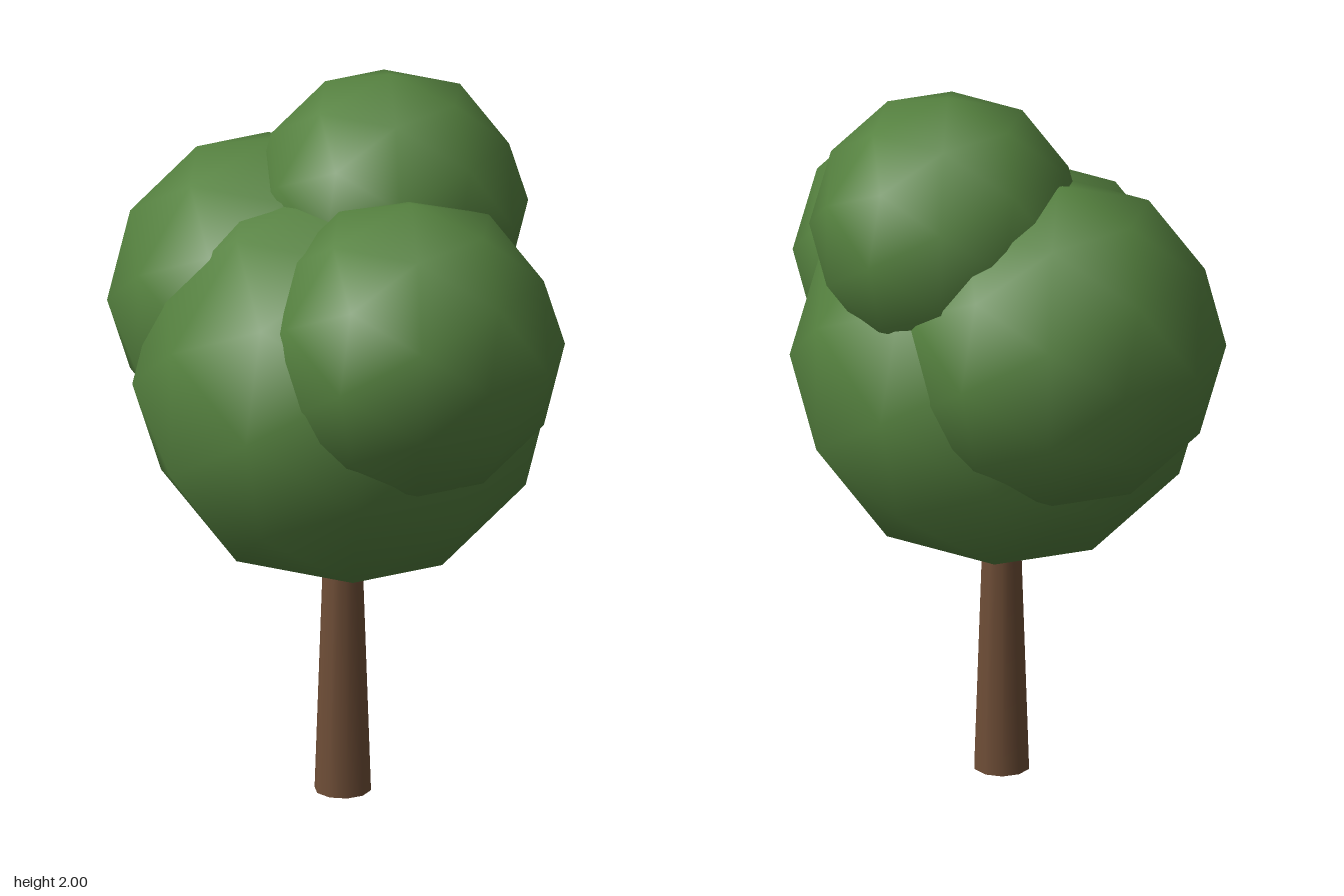
import * as THREE from 'three';

export function createModel() {
  const tree = new THREE.Group();
  tree.name = 'tree';

  const bark = new THREE.MeshStandardMaterial({ color: 0x6f4e37 });
  bark.name = 'bark brown';
  const leaf = new THREE.MeshStandardMaterial({ color: 0x55813f });
  leaf.name = 'leaf green';

  // Tapered ten-sided trunk, running up into the crown
  const height = 0.9;
  const trunk = new THREE.Mesh(new THREE.CylinderGeometry(0.046, 0.077, height, 10), bark);
  trunk.name = 'trunk';
  trunk.position.set(0.005, height / 2, 0);
  tree.add(trunk);

  // Crown of overlapping smooth-shaded icospheres: name, radius, centre
  const crown = new THREE.Group();
  crown.name = 'crown';
  const clumps = [
    ['mainFoliage', 0.57, [0.007, 1.183, 0]],
    ['leftFoliage', 0.415, [0.292, 1.375, 0.153]],
    ['rightFoliage', 0.455, [-0.26, 1.335, -0.118]],
    ['topFoliage', 0.373, [0.045, 1.627, -0.198]],
  ];
  for (const [name, radius, centre] of clumps) {
    const clump = new THREE.Mesh(new THREE.IcosahedronGeometry(radius, 1), leaf);
    clump.name = name;
    clump.position.set(...centre);
    crown.add(clump);
  }
  tree.add(crown);

  return tree;
}
